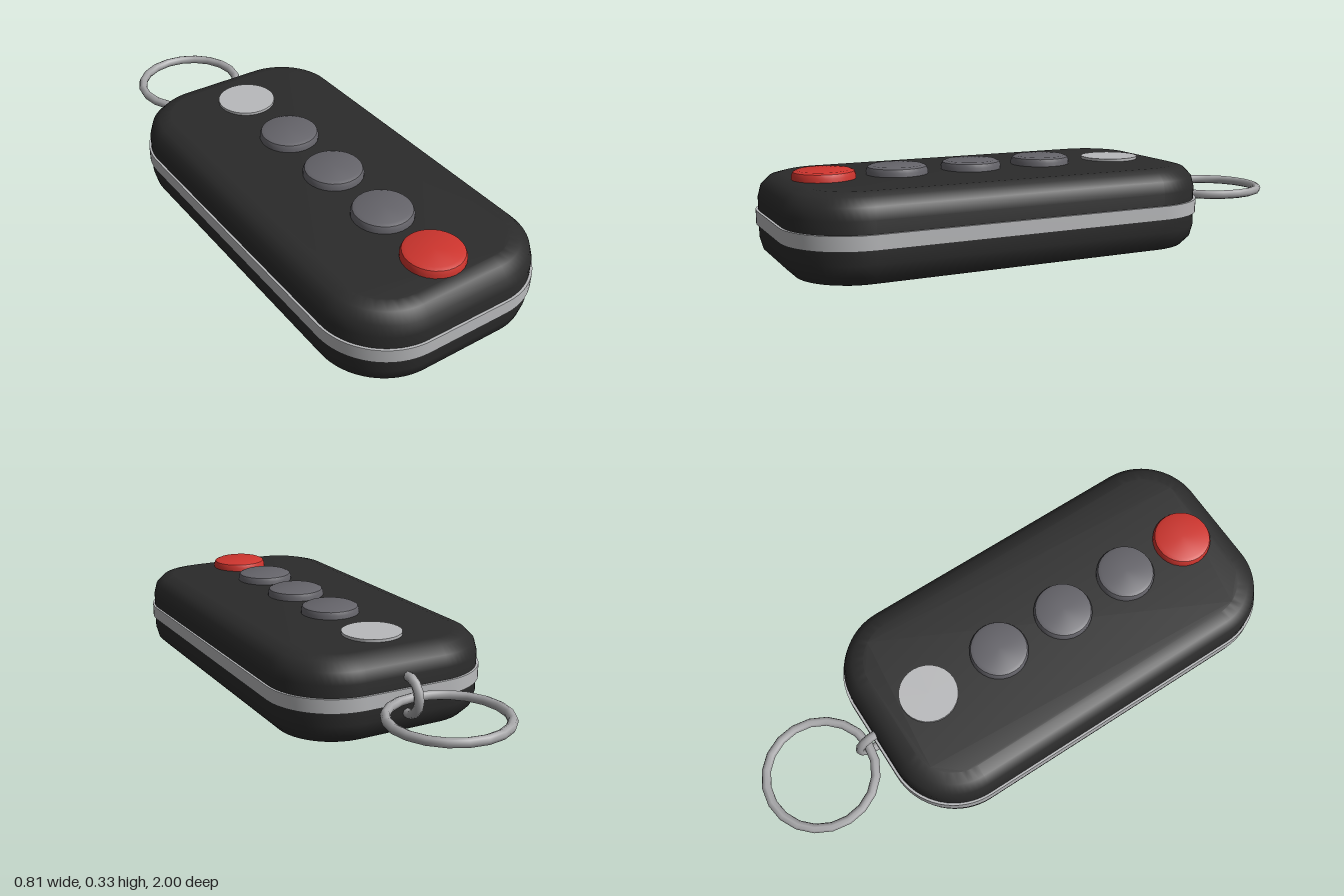
import * as THREE from 'three';
import { mergeVertices, toCreasedNormals } from 'three/addons/utils/BufferGeometryUtils.js';

const paint = (name, color) => {
  const m = new THREE.MeshStandardMaterial({ color });
  m.name = name;
  return m;
};

// Rounded rectangle outline with half sizes and corner radius
function roundedOutline(hw, hl, r) {
  const s = new THREE.Shape();
  s.moveTo(hw, -hl + r);
  s.absarc(hw - r, hl - r, r, 0, Math.PI / 2);
  s.absarc(-hw + r, hl - r, r, Math.PI / 2, Math.PI);
  s.absarc(-hw + r, -hl + r, r, Math.PI, Math.PI * 1.5);
  s.absarc(hw - r, -hl + r, r, Math.PI * 1.5, Math.PI * 2);
  return s;
}

// Horizontal slab from y0 to y1 with rounded plan and optional edge bevel
function slab(hw, hl, r, y0, y1, bevel) {
  const g = new THREE.ExtrudeGeometry(roundedOutline(hw - bevel, hl - bevel, r - bevel), {
    depth: y1 - y0 - 2 * bevel,
    curveSegments: 8,
    bevelEnabled: bevel > 0,
    bevelSize: bevel,
    bevelThickness: bevel,
    bevelSegments: 3,
  });
  g.translate(0, 0, y0 + bevel);
  g.rotateX(-Math.PI / 2);
  g.deleteAttribute('uv');
  g.deleteAttribute('normal');
  return toCreasedNormals(mergeVertices(g, 1e-4), 0.65);
}

// Round push button with a softened rim, base at y = 0
function buttonGeometry(r, h, rim) {
  const pts = [[r, -0.02], [r, h - rim], [r - rim * 0.3, h - rim * 0.3], [r - rim, h], [0, h]];
  const g = new THREE.LatheGeometry(pts.map(([x, y]) => new THREE.Vector2(x, y)), 28);
  return toCreasedNormals(g, 0.7);
}

export function createModel() {
  const model = new THREE.Group();
  model.name = 'keyFob';
  const black = paint('black plastic', 0x2b2b2b);
  const silver = paint('silver', 0xb9babc);
  const steel = paint('ring steel', 0xa6a6a8);
  const grey = paint('grey rubber', 0x65646a);
  const red = paint('red rubber', 0xcf352e);

  const add = (name, geometry, material, x, y, z) => {
    const mesh = new THREE.Mesh(geometry, material);
    mesh.name = name;
    mesh.position.set(x, y, z);
    model.add(mesh);
    return mesh;
  };

  // Casing and the trim band round its middle
  const midZ = 0.221, top = 0.302;
  add('casing', slab(0.397, 0.77, 0.24, 0, top, 0.08), black, 0, 0, midZ);
  add('trimBand', slab(0.405, 0.779, 0.248, 0.128, 0.178, 0), silver, 0, 0, midZ);

  // Buttons down the top face
  const button = buttonGeometry(0.108, 0.031, 0.018);
  add('redButton', button, red, 0, top, 0.805);
  [0.545, 0.265, -0.015].forEach((z, i) => add('greyButton' + (i + 1), button, grey, 0, top, z));

  // Flat indicator disc
  add('indicatorDisc', new THREE.CylinderGeometry(0.107, 0.107, 0.03, 28), silver, 0, top - 0.005, -0.315);

  // Small upright loop at the back, and the key ring through it
  const loop = add('loop', new THREE.TorusGeometry(0.066, 0.017, 8, 14), steel, 0, 0.153, -0.553);
  loop.rotation.y = Math.PI / 2;
  const ring = add('keyRing', new THREE.TorusGeometry(0.199, 0.017, 8, 20), steel, 0, 0.155, -0.784);
  ring.rotation.x = Math.PI / 2;

  return model;
}
